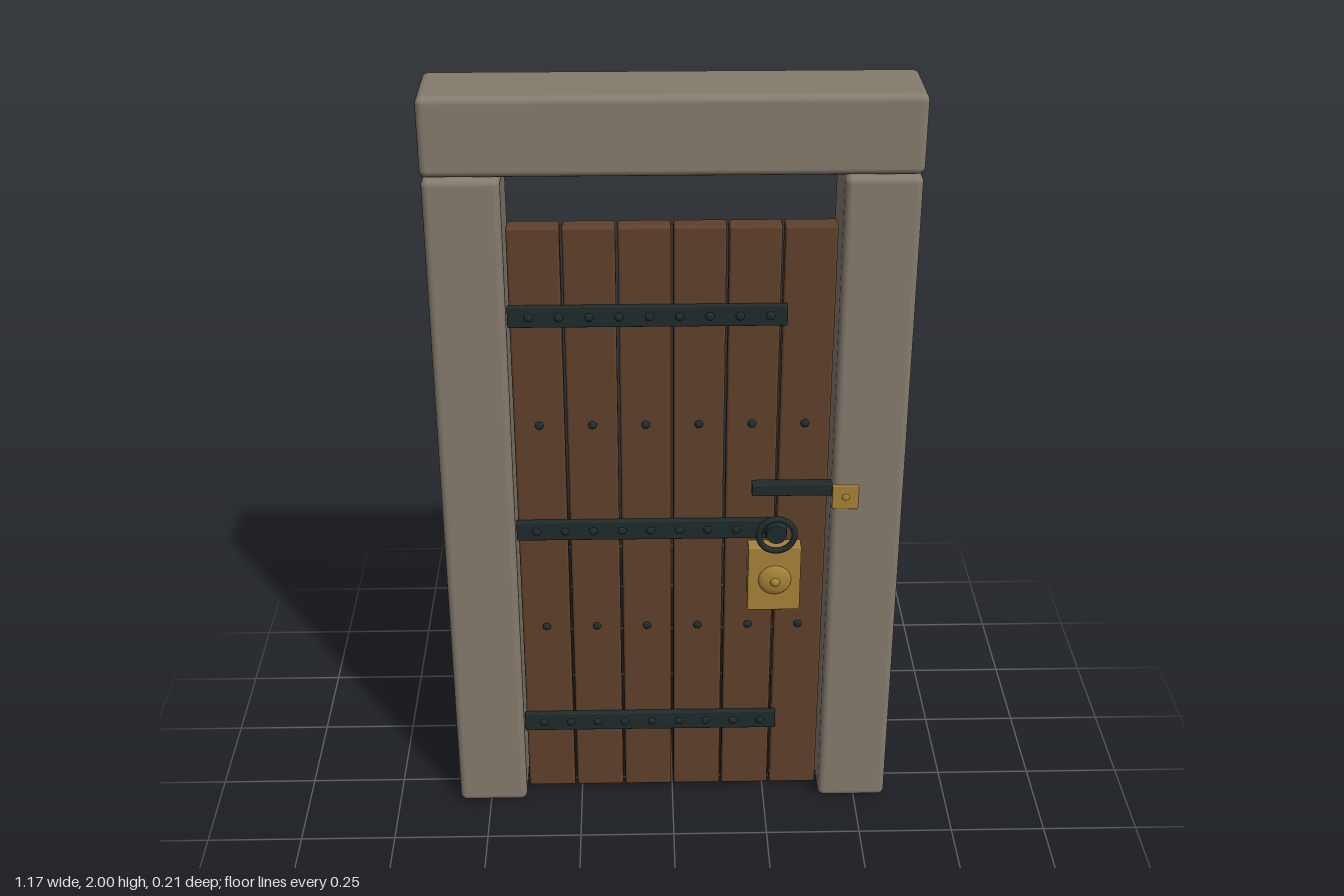
import * as THREE from 'three';
import { RoundedBoxGeometry } from 'three/addons/geometries/RoundedBoxGeometry.js';

const mat = (name, color) => {
  const m = new THREE.MeshStandardMaterial({ color });
  m.name = name;
  return m;
};

export function createModel() {
  const door = new THREE.Group();
  door.name = 'door';
  const stone = mat('stone', 0x857b6e);
  const wood = mat('wood', 0x60412b);
  const iron = mat('iron', 0x1f2b2c);
  const brass = mat('brass', 0xa88238);

  const add = (name, geometry, material, x, y, z) => {
    const mesh = new THREE.Mesh(geometry, material);
    mesh.name = name;
    mesh.position.set(x, y, z);
    door.add(mesh);
    return mesh;
  };
  // Box given by its extents on each axis, with rounded edges
  const block = (name, material, [x0, x1], [y0, y1], [z0, z1], r) =>
    add(name, new RoundedBoxGeometry(x1 - x0, y1 - y0, z1 - z0, 3, r), material,
      (x0 + x1) / 2, (y0 + y1) / 2, (z0 + z1) / 2);
  // Domed stud whose flat side lies at z and faces forward
  const stud = (name, material, x, y, z, r, h) => {
    const g = new THREE.SphereGeometry(r, 20, 8, 0, Math.PI * 2, 0, Math.PI / 2);
    g.scale(1, h / r, 1);
    g.rotateX(Math.PI / 2);
    return add(name, g, material, x, y, z);
  };

  // Stone frame
  const depth = [-0.107, 0.1];
  block('leftPost', stone, [0.401, 0.584], [0, 1.804], depth, 0.018);
  block('rightPost', stone, [-0.584, -0.401], [0, 1.804], depth, 0.018);
  block('lintel', stone, [-0.586, 0.586], [1.806, 2], depth, 0.018);

  // Planks, each with two nail heads
  const front = 0.046;
  for (let i = 0; i < 6; i++) {
    const x = (i - 2.5) * 0.133;
    block('plank', wood, [x - 0.0635, x + 0.0635], [0.01, 1.664], [-0.004, front], 0.007);
    for (const y of [0.538, 1.137]) stud('nail', iron, x, y, front, 0.011, 0.008);
  }

  // Hinge straps with rivets
  for (const y of [0.236, 0.838, 1.438]) {
    block('hingeStrap', iron, [-0.4, 0.28], [y - 0.027, y + 0.027], [front - 0.003, 0.061], 0.003);
    for (let i = 0; i < 9; i++) stud('rivet', iron, -0.349 + i * 0.0733, y, 0.061, 0.011, 0.007);
  }

  // Ring handle on a round boss
  const boss = new THREE.CylinderGeometry(0.026, 0.03, 0.04, 24);
  boss.rotateX(Math.PI / 2);
  add('handleBoss', boss, iron, 0.266, 0.84, 0.075);
  add('ringHandle', new THREE.TorusGeometry(0.046, 0.008, 12, 40), iron, 0.266, 0.84, 0.094);

  // Lock plate with domed knob
  block('lockPlate', brass, [0.195, 0.332], [0.607, 0.797], [front - 0.003, 0.086], 0.004);
  stud('lockDome', brass, 0.265, 0.7, 0.086, 0.043, 0.013);
  stud('lockKnob', brass, 0.265, 0.7, 0.096, 0.013, 0.011);

  // Sliding bolt and its keeper on the post
  block('bolt', iron, [0.2, 0.45], [0.954, 0.988], [0.065, 0.095], 0.004);
  block('boltKeeper', brass, [0.403, 0.47], [0.919, 0.988], [0.07, 0.104], 0.004);
  stud('keeperStud', brass, 0.437, 0.954, 0.103, 0.01, 0.004);

  return door;
}
